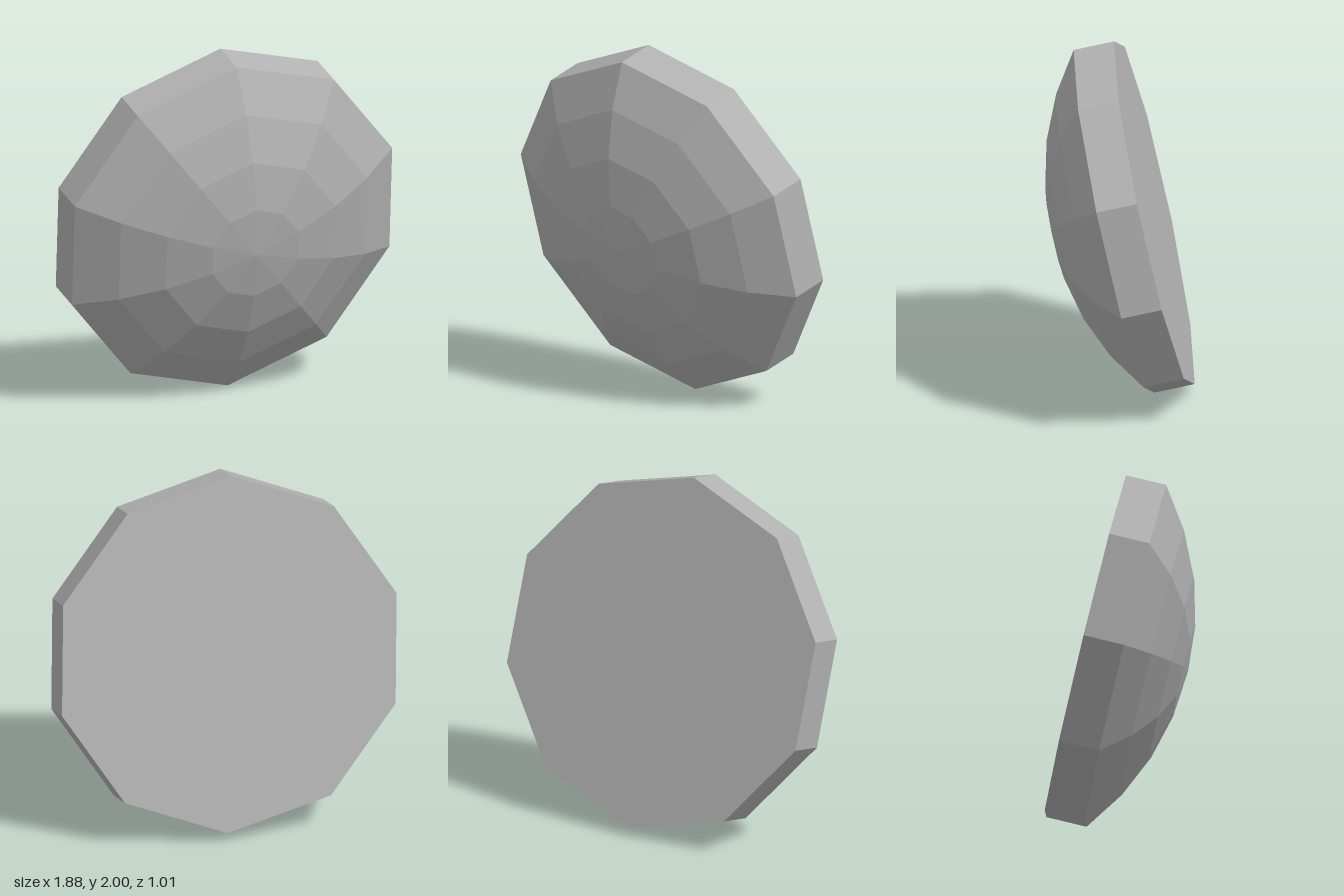
import * as THREE from 'three';

const SIDES = 10;
const THICKNESS = 0.228;
const DOME_HEIGHT = 0.35;
const DOME_RINGS = 4;

export function createModel() {
  const grey = new THREE.MeshStandardMaterial({ color: 0xb2b2b2, flatShading: true });
  grey.name = 'grey';

  const turned = (name, points) => {
    const mesh = new THREE.Mesh(new THREE.LatheGeometry(points, SIDES), grey);
    mesh.name = name;
    return mesh;
  };

  // Flat-backed ten-sided drum
  const drum = turned('drum', [
    new THREE.Vector2(0, -THICKNESS),
    new THREE.Vector2(1, -THICKNESS),
    new THREE.Vector2(1, 0),
  ]);

  // Shallow spherical cap, rings at equal angles
  const radius = (1 + DOME_HEIGHT ** 2) / (2 * DOME_HEIGHT);
  const halfAngle = Math.asin(1 / radius);
  const cap = [];
  for (let i = DOME_RINGS; i >= 0; i--) {
    const a = (halfAngle * i) / DOME_RINGS;
    cap.push(new THREE.Vector2(radius * Math.sin(a), radius * Math.cos(a) - radius + DOME_HEIGHT));
  }
  const dome = turned('dome', cap);

  // Tilt the disc so the dome faces forward, slightly down and to its left
  const axis = new THREE.Vector3(0.302, -0.225, 0.93).normalize();
  const side = new THREE.Vector3(0.957, 0.07, -0.294);
  side.addScaledVector(axis, -side.dot(axis)).normalize();
  const down = new THREE.Vector3().crossVectors(side, axis);

  const disc = new THREE.Group();
  disc.name = 'domedDisc';
  disc.add(drum, dome);
  disc.quaternion.setFromRotationMatrix(new THREE.Matrix4().makeBasis(side, axis, down));
  disc.position.set(0.033, 0.977, 0.073);

  const model = new THREE.Group();
  model.name = 'model';
  model.add(disc);
  return model;
}
